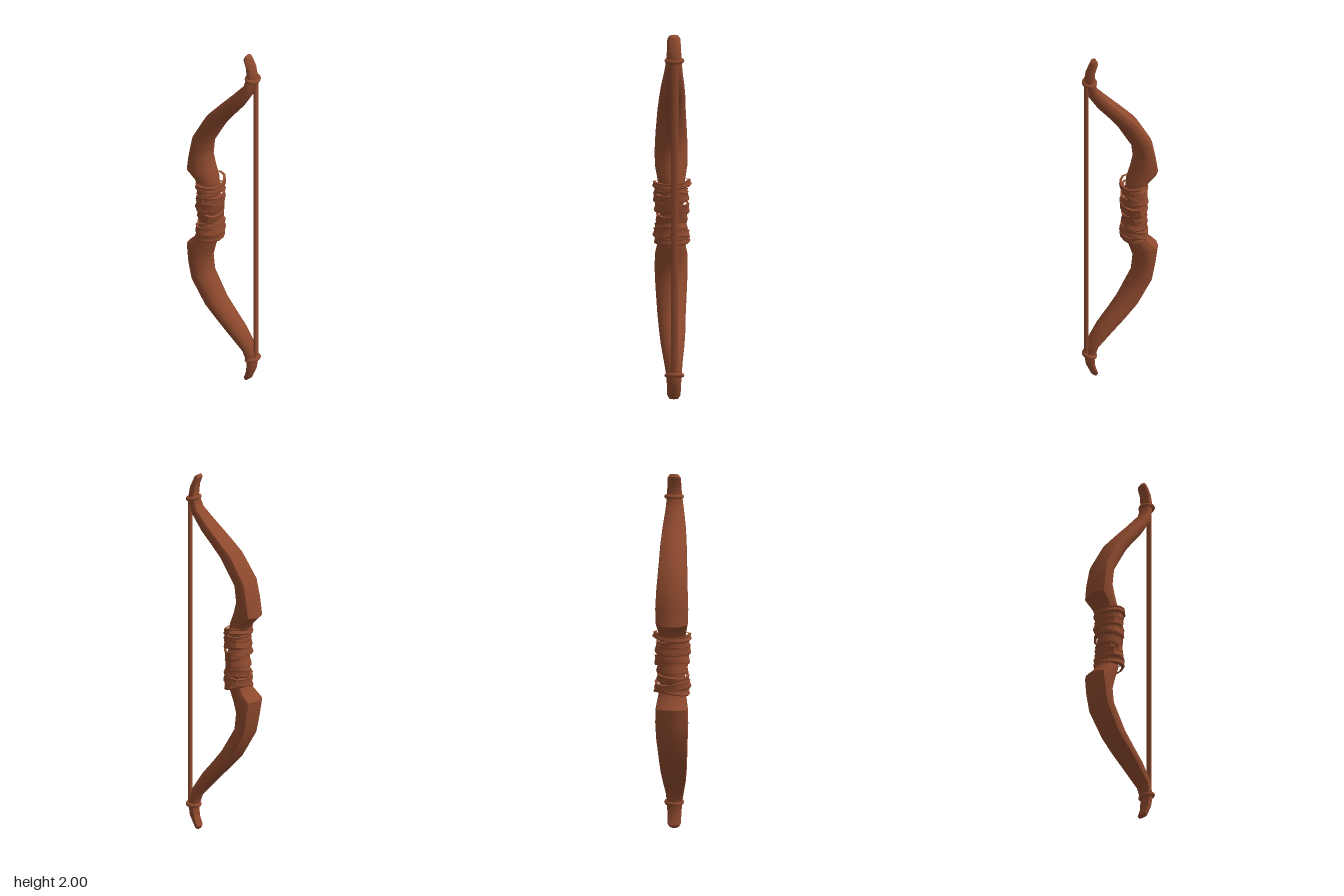
import * as THREE from 'three';
import { toCreasedNormals } from 'three/addons/utils/BufferGeometryUtils.js';

const wood = new THREE.MeshStandardMaterial({ color: 0x8f4a2e });
wood.name = 'reddish brown wood';

// Upper half stations: outer edge x,y / inner edge x,y / half depth / z shift
const STATIONS = [
  [-0.14, 1.0, -0.03, 1.0, 0.065, 0],
  [-0.145, 1.13, -0.04, 1.15, 0.07, 0],
  [-0.165, 1.185, -0.045, 1.19, 0.078, 0],
  [-0.217, 1.235, -0.065, 1.25, 0.088, 0],
  [-0.2, 1.33, -0.085, 1.31, 0.09, 0],
  [-0.18, 1.43, -0.075, 1.4, 0.086, 0],
  [-0.1, 1.57, 0.01, 1.545, 0.077, 0],
  [-0.025, 1.65, 0.065, 1.615, 0.072, -0.002],
  [0.053, 1.73, 0.125, 1.685, 0.064, -0.003],
  [0.132, 1.815, 0.183, 1.775, 0.05, -0.005],
  [0.152, 1.88, 0.206, 1.86, 0.041, -0.008],
  [0.146, 1.94, 0.195, 1.925, 0.038, -0.008],
  [0.13, 1.985, 0.177, 1.963, 0.036, -0.008],
  [0.139, 2.0, 0.168, 1.985, 0.024, -0.008],
];

// Half cross-section: 0 = outer edge, 1 = inner edge; second value = depth
const HALF = [[0, 0], [0.04, 0.5], [0.2, 0.95], [0.42, 1], [0.68, 0.85], [0.9, 0.5], [1, 0]];
const SECTION = [...HALF, ...HALF.slice(1, -1).reverse().map(([u, v]) => [u, -v])];

function limbsGeometry() {
  const lower = STATIONS.slice(1).reverse().map(([a, b, c, d, w, z]) => [a, 2 - b, c, 2 - d, w, z]);
  const rows = [...lower, ...STATIONS];
  const n = SECTION.length, pos = [], idx = [];
  for (const [lx, ly, rx, ry, w, z] of rows)
    for (const [u, v] of SECTION) pos.push(lx + (rx - lx) * u, ly + (ry - ly) * u, z + v * w);
  for (let i = 0; i < rows.length - 1; i++)
    for (let j = 0; j < n; j++) {
      const k = (j + 1) % n, a = i * n, b = a + n;
      idx.push(a + j, a + k, b + k, a + j, b + k, b + j);
    }
  // End caps
  const top = (rows.length - 1) * n;
  for (let j = 1; j < n - 1; j++) {
    idx.push(0, j + 1, j);
    idx.push(top, top + j, top + j + 1);
  }
  const g = new THREE.BufferGeometry();
  g.setAttribute('position', new THREE.Float32BufferAttribute(pos, 3));
  g.setIndex(idx);
  return toCreasedNormals(g, 0.7);
}

// A flared strip of leather wound round the grip, slightly wavy
function wrapGeometry(height, seed) {
  const h = height / 2;
  const profile = [[0.8, -h], [0.95, -h], [1, -h * 0.6], [0.93, h * 0.4], [0.96, h], [0.8, h]]
    .map(([r, y]) => new THREE.Vector2(r, y));
  const g = new THREE.LatheGeometry(profile, 14);
  const p = g.attributes.position;
  for (let i = 0; i < p.count; i++) {
    const a = Math.atan2(p.getZ(i), p.getX(i));
    const r = 1 + 0.035 * Math.sin(3 * a + seed);
    p.setXYZ(i, p.getX(i) * r, p.getY(i) + 0.006 * Math.sin(2 * a + seed * 2), p.getZ(i) * r);
  }
  return g;
}

export function createModel() {
  const model = new THREE.Group();
  const add = (name, geometry, parent = model) => {
    const mesh = new THREE.Mesh(geometry, wood);
    mesh.name = name;
    parent.add(mesh);
    return mesh;
  };

  add('bowLimbs', limbsGeometry());

  // Grip bands: centre y, height, x radius, z radius, tilt about z, tilt about x
  const grip = new THREE.Group();
  grip.name = 'gripWrap';
  model.add(grip);
  [
    [0.845, 0.035, 0.075, 0.1, -0.12, 0.05],
    [0.878, 0.045, 0.076, 0.102, 0.1, -0.06],
    [0.918, 0.045, 0.07, 0.092, 0.22, 0.05],
    [0.965, 0.055, 0.068, 0.088, -0.2, 0.04],
    [1.025, 0.055, 0.074, 0.098, -0.18, -0.06],
    [1.075, 0.05, 0.074, 0.1, -0.08, 0.05],
    [1.115, 0.04, 0.072, 0.095, 0.12, -0.05],
    [1.148, 0.032, 0.075, 0.108, -0.06, 0.05],
  ].forEach(([y, h, rx, rz, tz, tx], i) => {
    const g = wrapGeometry(h, i * 1.7);
    g.scale(rx, 1, rz).rotateX(tx).rotateZ(tz).translate(-0.087, y, 0);
    g.deleteAttribute('normal');
    add('wrapBand', toCreasedNormals(g, 0.6), grip);
  });

  // Bowstring with its two tie rings
  const string = add('bowstring', new THREE.CylinderGeometry(1, 1, 1.72, 6));
  string.scale.set(0.01, 1, 0.021);
  string.position.set(0.195, 1, -0.012);

  for (const s of [-1, 1]) {
    const g = new THREE.TorusGeometry(1, 0.3, 8, 20).rotateX(Math.PI / 2);
    const ring = add(s > 0 ? 'upperStringRing' : 'lowerStringRing', g);
    ring.scale.set(0.031, 0.04, 0.042);
    ring.rotation.z = -0.18 * s;
    ring.position.set(0.176, 1 + s * 0.863, -0.01);
  }
  return model;
}
